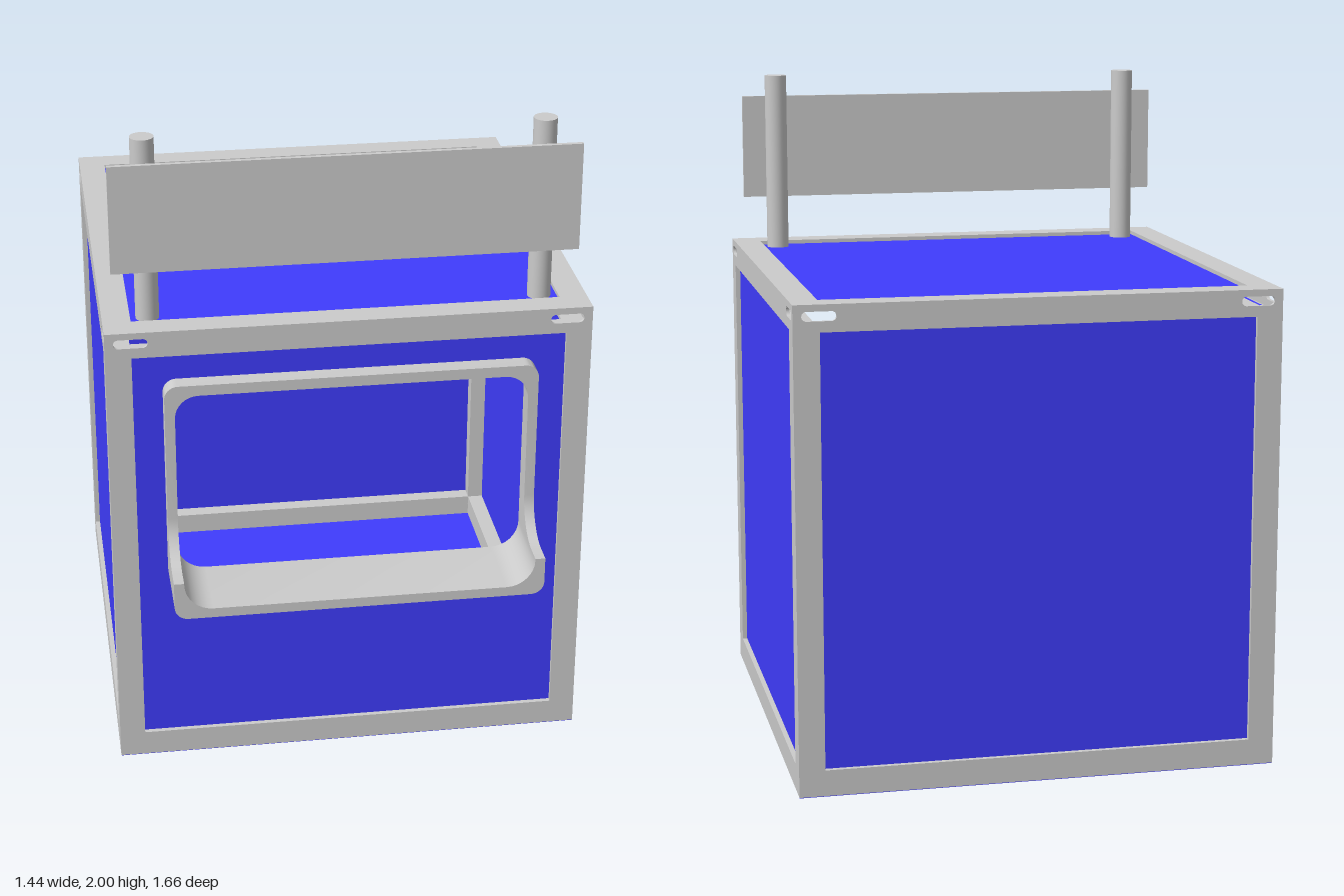
import * as THREE from 'three';
import { toCreasedNormals } from 'three/addons/utils/BufferGeometryUtils.js';

const grey = new THREE.MeshStandardMaterial({ color: 0xcccccc });
const blue = new THREE.MeshStandardMaterial({ color: 0x3f3cfd });

const H = 0.72;        // half width of the booth
const TOP = 1.45;      // height of the booth
const CZ = -0.11;      // booth centre along z
const OPEN = 0.643;    // half width of each panel opening

function add(parent, name, geometry, material, x = 0, y = 0, z = 0) {
  const mesh = new THREE.Mesh(geometry, material);
  mesh.name = name;
  mesh.position.set(x, y, z);
  parent.add(mesh);
  return mesh;
}

const box = (w, h, d) => new THREE.BoxGeometry(w, h, d);

// Rectangle, optionally with rounded corners
function rect(path, x0, y0, x1, y1, r = 0) {
  if (r === 0) {
    path.moveTo(x0, y0).lineTo(x1, y0).lineTo(x1, y1).lineTo(x0, y1).closePath();
    return path;
  }
  path.moveTo(x0 + r, y0).lineTo(x1 - r, y0);
  path.absarc(x1 - r, y0 + r, r, -Math.PI / 2, 0, false);
  path.absarc(x1 - r, y1 - r, r, 0, Math.PI / 2, false);
  path.absarc(x0 + r, y1 - r, r, Math.PI / 2, Math.PI, false);
  path.absarc(x0 + r, y0 + r, r, Math.PI, Math.PI * 1.5, false);
  return path;
}

const plate = (shape, depth) =>
  new THREE.ExtrudeGeometry(shape, { depth, bevelEnabled: false, curveSegments: 10 });

// Frame face with the panel opening and two carrying slots
function frameFace() {
  const s = rect(new THREE.Shape(), -H, 0.002, H, TOP);
  s.holes.push(rect(new THREE.Path(), -OPEN, 0.08, OPEN, 1.37));
  for (const x of [-0.645, 0.645])
    s.holes.push(rect(new THREE.Path(), x - 0.05, 1.402, x + 0.05, 1.43, 0.0139));
  return plate(s, 0.01);
}

// Front panel with the rounded serving opening
function openPanel() {
  const s = rect(new THREE.Shape(), -0.65, 0.07, 0.65, 1.38);
  s.holes.push(rect(new THREE.Path(), -0.54, 0.63, 0.54, 1.27, 0.06));
  return plate(s, 0.01);
}

// Window surround: a rounded ring whose lower part projects as a counter
function surroundGeometry() {
  const back = 0.585, lip = 0.65, front = 0.83;
  const half = [];   // stations on +x: [outerX, outerY, innerX, innerY, frontZ]
  const corner = (a0, a1, oy, iy, ro, ri, z) => {
    for (let i = 0; i <= 8; i++) {
      const a = a0 + (a1 - a0) * i / 8, c = Math.cos(a), s = Math.sin(a);
      half.push([0.555 - ro + ro * c, oy + ro * s, 0.525 - ri + ri * c, iy + ri * s, z]);
    }
  };
  corner(Math.PI / 2, 0, 1.29 - 0.04, 1.257 - 0.07, 0.04, 0.07, lip);
  for (let i = 0; i <= 10; i++) {
    const a = Math.PI / 2 * i / 10;
    const y = 0.855 - 0.12 * Math.sin(a);
    half.push([0.555, y, 0.525, y, 0.77 - 0.12 * Math.cos(a)]);
  }
  half.push([0.555, 0.735, 0.525, 0.735, front]);
  corner(0, -Math.PI / 2, 0.615 + 0.04, 0.645 + 0.085, 0.04, 0.085, front);

  const mirrored = half.slice().reverse().map(([a, b, c, d, z]) => [-a, b, -c, d, z]);
  const ring = half.concat(mirrored).map(([ox, oy, ix, iy, z]) => [
    [ox, oy, back], [ox, oy, z], [ix, iy, z], [ix, iy, back],
  ]);
  const pos = [];
  ring.forEach((p, i) => {
    const q = ring[(i + 1) % ring.length];
    for (let k = 0; k < 4; k++) {
      const m = (k + 1) % 4;
      pos.push(...p[k], ...p[m], ...q[k], ...p[m], ...q[m], ...q[k]);
    }
  });
  const g = new THREE.BufferGeometry();
  g.setAttribute('position', new THREE.Float32BufferAttribute(pos, 3));
  return toCreasedNormals(g, 0.6);
}

export function createModel() {
  const model = new THREE.Group();
  model.name = 'kiosk';

  const booth = new THREE.Group();
  booth.name = 'booth';
  booth.position.z = CZ;
  model.add(booth);

  // Four walls: frame face, recessed panel, bottom beam and corner post
  ['front', 'left', 'back', 'right'].forEach((side, i) => {
    const wall = new THREE.Group();
    wall.name = side + 'Wall';
    wall.rotation.y = i * Math.PI / 2;
    booth.add(wall);
    add(wall, 'frameFace', frameFace(), grey, 0, 0, H - 0.01);
    if (i === 0) add(wall, 'windowPanel', openPanel(), blue, 0, 0, 0.695);
    else add(wall, 'panel', box(1.3, 1.31, 0.01), blue, 0, 0.725, 0.7);
    add(wall, 'bottomBeam', box(1.3, 0.069, 0.066), grey, 0, 0.0455, 0.677);
    add(wall, 'cornerPost', box(0.067, 1.37, 0.067), grey, 0.677, 0.695, 0.677);
  });

  // Floor
  add(booth, 'floor', box(1.438, 0.011, 1.438), blue, 0, 0.0055, 0);

  // Roof rim, its lower flange and the roof panel
  const rim = rect(new THREE.Shape(), -H, -H, H, H);
  rim.holes.push(rect(new THREE.Path(), -0.637, -0.637, 0.637, 0.637));
  add(booth, 'roofRim', plate(rim, 0.012), grey, 0, TOP - 0.012, 0).rotation.x = -Math.PI / 2;
  const flange = rect(new THREE.Shape(), -0.712, -0.712, 0.712, 0.712);
  flange.holes.push(rect(new THREE.Path(), -OPEN, -OPEN, OPEN, OPEN));
  add(booth, 'roofFlange', plate(flange, 0.01), grey, 0, 1.37, 0).rotation.x = -Math.PI / 2;
  add(booth, 'roofPanel', box(1.41, 0.005, 1.41), blue, 0, 1.4355, 0);

  // Serving window with counter
  add(model, 'windowSurround', surroundGeometry(), grey);

  // Sign board on two round posts
  for (const x of [-0.585, 0.585])
    add(model, 'signPost', new THREE.CylinderGeometry(0.035, 0.035, 0.565, 32), grey, x, 1.7175, 0.475);
  add(model, 'signBoard', box(1.38, 0.33, 0.014), grey, 0, 1.765, 0.517);

  return model;
}
